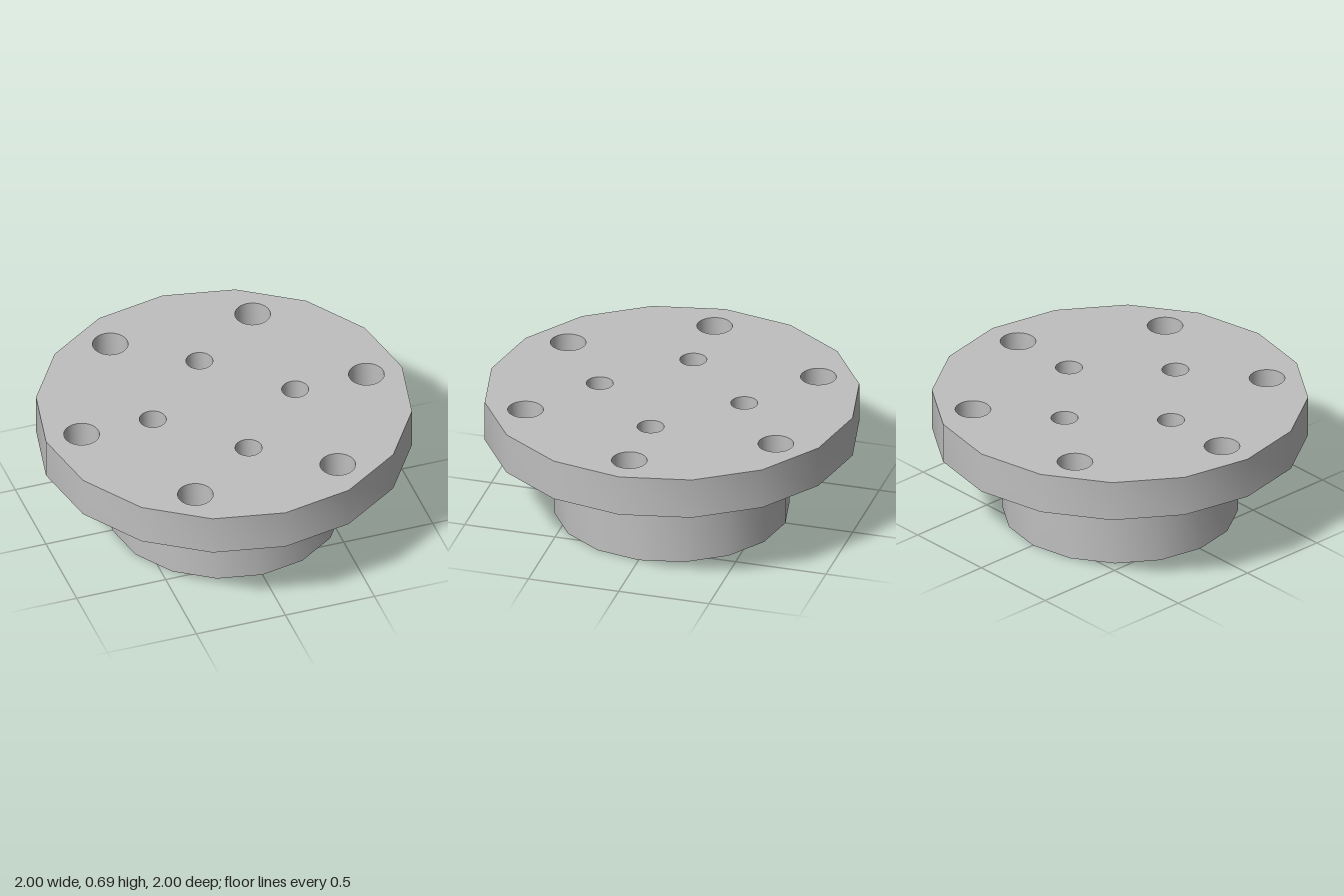
import * as THREE from 'three';
import { toCreasedNormals } from 'three/addons/utils/BufferGeometryUtils.js';

const SIDES = 16;
const HUB_HEIGHT = 0.46;
const TOTAL_HEIGHT = 0.686;

// Evenly spaced points on a circle, starting on +x
function ring(count, radius) {
  return Array.from({ length: count }, (_, i) => {
    const a = (i / count) * Math.PI * 2;
    return new THREE.Vector2(Math.cos(a) * radius, Math.sin(a) * radius);
  });
}

// Sixteen-sided disc from y0 to y1 with a circle of through holes
function drilledDisc(name, radius, y0, y1, holeRings, material) {
  const shape = new THREE.Shape(ring(SIDES, radius));
  for (const { count, pitch, size } of holeRings) {
    for (const c of ring(count, pitch)) {
      const hole = ring(32, size).map((p) => p.add(c)).reverse();
      shape.holes.push(new THREE.Path(hole));
    }
  }
  const extruded = new THREE.ExtrudeGeometry(shape, { depth: y1 - y0, bevelEnabled: false });
  extruded.rotateX(-Math.PI / 2);
  extruded.translate(0, y0, 0);
  // Smooth walls, sharp rims
  const mesh = new THREE.Mesh(toCreasedNormals(extruded, 0.6), material);
  mesh.name = name;
  return mesh;
}

export function createModel() {
  const metal = new THREE.MeshStandardMaterial({ color: 0xbfbfbf });
  metal.name = 'grey metal';

  const boltHoles = { count: 6, pitch: 0.8, size: 0.095 };
  const hubHoles = { count: 4, pitch: 0.4, size: 0.072 };

  const group = new THREE.Group();
  group.name = 'flangedHub';
  group.add(
    drilledDisc('hub', 0.628, 0, HUB_HEIGHT, [hubHoles], metal),
    drilledDisc('flange', 1, HUB_HEIGHT, TOTAL_HEIGHT, [boltHoles, hubHoles], metal)
  );
  return group;
}
